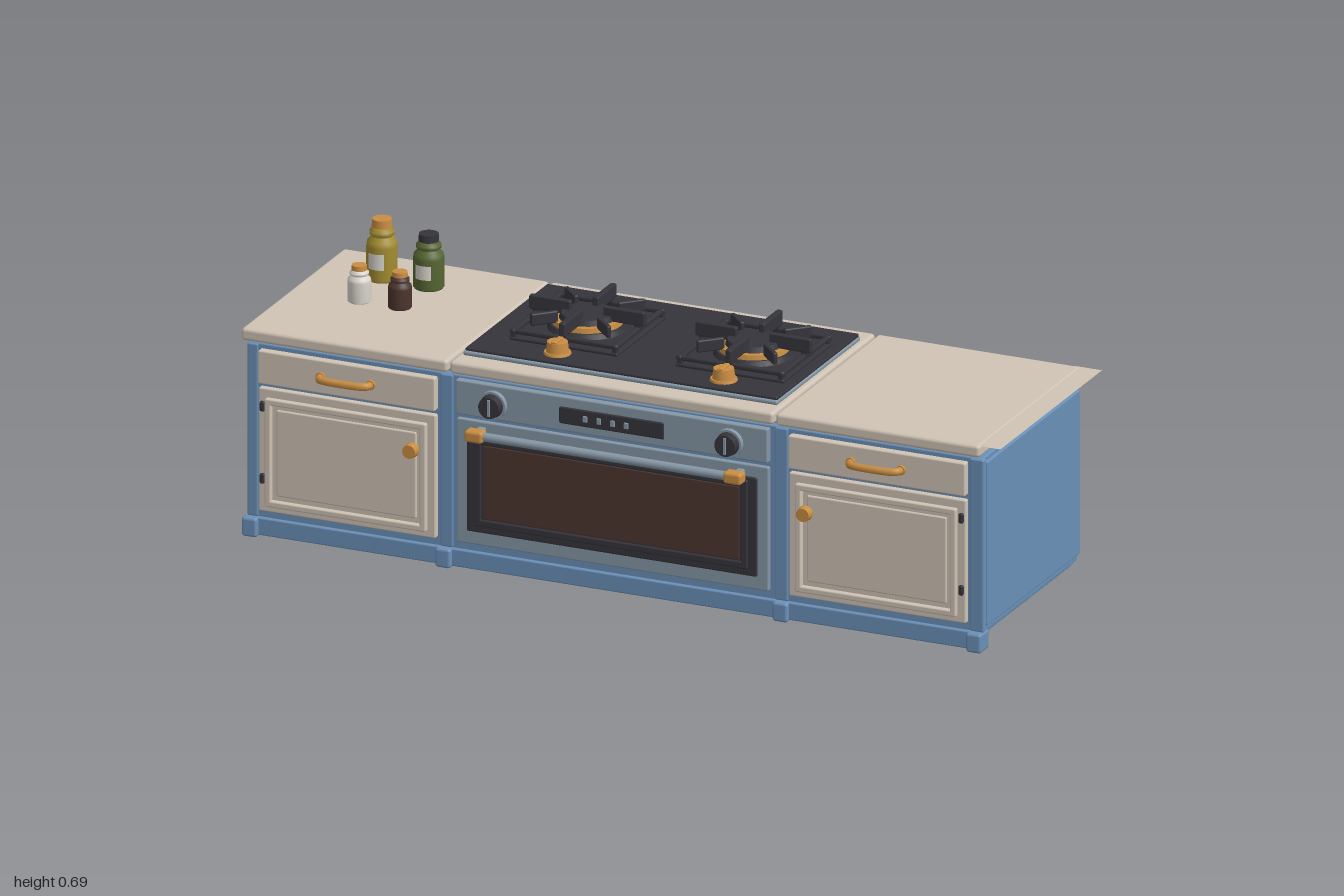
import * as THREE from 'three';
import { RoundedBoxGeometry } from 'three/addons/geometries/RoundedBoxGeometry.js';

const palette = {
  blue: 0x6b90b8, cream: 0xcfc3b4, charcoal: 0x35343b, steel: 0x8798a6, brass: 0xc98d42,
  brown: 0x4c352f, green: 0x566632, mustard: 0xa28c30, white: 0xd9d4cc,
};

export function createModel() {
  const root = new THREE.Group();
  root.name = 'kitchenRange';
  const M = {};
  for (const [name, color] of Object.entries(palette)) {
    M[name] = new THREE.MeshStandardMaterial({ color });
    M[name].name = name;
  }
  M.sheet = M.cream.clone();
  M.sheet.name = 'creamSheet';
  M.sheet.side = THREE.DoubleSide;

  const add = (parent, name, geometry, material, x = 0, y = 0, z = 0) => {
    const mesh = new THREE.Mesh(geometry, material);
    mesh.name = name;
    mesh.position.set(x, y, z);
    parent.add(mesh);
    return mesh;
  };
  const group = (name, x = 0, y = 0, z = 0) => {
    const g = new THREE.Group();
    g.name = name;
    g.position.set(x, y, z);
    root.add(g);
    return g;
  };
  // Softly rounded box given by its extents
  const box = (parent, name, mat, x0, x1, y0, y1, z0, z1, r = 0.004) => {
    const w = x1 - x0, h = y1 - y0, d = z1 - z0;
    const radius = Math.min(r, w * 0.45, h * 0.45, d * 0.45);
    return add(parent, name, new RoundedBoxGeometry(w, h, d, 2, radius), mat,
      (x0 + x1) / 2, (y0 + y1) / 2, (z0 + z1) / 2);
  };
  // Rectangular frame facing +z
  const frame = (parent, name, mat, x0, x1, y0, y1, z0, z1, t) => {
    box(parent, name + 'Bottom', mat, x0, x1, y0, y0 + t, z0, z1);
    box(parent, name + 'Top', mat, x0, x1, y1 - t, y1, z0, z1);
    box(parent, name + 'Left', mat, x0, x0 + t, y0, y1, z0, z1);
    box(parent, name + 'Right', mat, x1 - t, x1, y0, y1, z0, z1);
  };
  const disc = (parent, name, mat, r0, r1, h, x, y, z, facing = false) => {
    const mesh = add(parent, name, new THREE.CylinderGeometry(r1, r0, h, 24), mat, x, y, z);
    if (facing) mesh.rotation.x = Math.PI / 2;
    return mesh;
  };

  // Carcass, plinth, posts and feet
  const body = group('carcass');
  box(body, 'cabinetBody', M.blue, -0.985, 0.945, 0.045, 0.494, -0.3, 0.253);
  box(body, 'plinth', M.blue, -0.975, 0.935, 0.032, 0.05, -0.29, 0.25);
  box(body, 'counterSupport', M.blue, -0.97, 0.93, 0.49, 0.506, -0.28, 0.235);
  box(body, 'frontRail', M.blue, -0.98, 0.93, 0.005, 0.05, 0.235, 0.263);
  box(body, 'leftSidePanel', M.blue, 0.94, 0.952, 0.062, 0.483, -0.3, 0.24);
  box(body, 'rightSidePanel', M.blue, -0.993, -0.98, 0.062, 0.483, -0.3, 0.24);
  for (const [x0, x1] of [[-0.99, -0.962], [-0.482, -0.448], [0.4, 0.434], [0.913, 0.95]])
    box(body, 'frontPost', M.blue, x0, x1, 0.05, 0.492, 0.24, 0.258);
  for (const x of [-0.978, -0.468, 0.42, 0.93])
    box(body, 'foot', M.blue, x - 0.02, x + 0.02, 0.001, 0.05, 0.223, 0.276, 0.007);

  // Worktop slabs
  const top = group('worktop');
  for (const [x0, x1] of [[-0.998, -0.455], [-0.449, 0.404], [0.41, 0.947]])
    box(top, 'worktopSlab', M.cream, x0, x1, 0.503, 0.535, -0.32, 0.277, 0.009);
  const sheet = add(top, 'worktopEndSheet', new THREE.PlaneGeometry(0.07, 0.59), M.sheet, 0.965, 0.533, -0.025);
  sheet.rotation.x = -Math.PI / 2;

  // Side cabinets: drawer above a hinged door
  const cabinet = (name, cx, s) => {
    const g = group(name, cx);
    const w = 0.233;
    box(g, 'drawerFront', M.cream, -w, w, 0.397, 0.482, 0.245, 0.272);
    box(g, 'doorPanel', M.cream, -w, w, 0.07, 0.386, 0.245, 0.267);
    frame(g, 'doorMoulding', M.cream, -0.212, 0.212, 0.087, 0.364, 0.26, 0.28, 0.016);
    box(g, 'doorInset', M.cream, -0.184, 0.184, 0.115, 0.336, 0.26, 0.272);
    for (const y of [0.155, 0.34])
      box(g, 'hinge', M.charcoal, s * 0.222 - 0.006, s * 0.222 + 0.006, y - 0.013, y + 0.013, 0.262, 0.274);
    disc(g, 'knobStem', M.brass, 0.009, 0.009, 0.025, -s * 0.18, 0.297, 0.276, true);
    disc(g, 'doorKnob', M.brass, 0.019, 0.017, 0.02, -s * 0.18, 0.297, 0.296, true);
    const path = new THREE.CatmullRomCurve3([[-0.066, 0.272], [-0.062, 0.291], [-0.045, 0.298],
      [0.045, 0.298], [0.062, 0.291], [0.066, 0.272]].map(([x, z]) => new THREE.Vector3(x, 0.441, z)));
    add(g, 'drawerHandle', new THREE.TubeGeometry(path, 24, 0.01, 8), M.brass);
    for (const x of [-0.066, 0.066])
      disc(g, 'handleMount', M.brass, 0.012, 0.012, 0.008, x, 0.441, 0.275, true);
  };
  cabinet('rightCabinet', -0.723, -1);
  cabinet('leftCabinet', 0.674, 1);

  // Oven front with control panel, window and bar handle
  const oven = group('oven');
  box(oven, 'controlPanel', M.steel, -0.436, 0.386, 0.4, 0.488, 0.245, 0.27);
  box(oven, 'ovenDoor', M.steel, -0.436, 0.386, 0.07, 0.388, 0.245, 0.264);
  box(oven, 'windowSurround', M.charcoal, -0.407, 0.357, 0.104, 0.358, 0.255, 0.269);
  frame(oven, 'windowFrame', M.charcoal, -0.385, 0.335, 0.122, 0.35, 0.262, 0.275, 0.018);
  box(oven, 'windowGlass', M.brown, -0.362, 0.312, 0.142, 0.33, 0.265, 0.272, 0.002);
  box(oven, 'display', M.charcoal, -0.162, 0.114, 0.42, 0.463, 0.265, 0.274);
  for (let i = 0; i < 4; i++) {
    const x = -0.092 + i * 0.036;
    box(oven, 'displayButton', M.steel, x - 0.006, x + 0.006, 0.433, 0.449, 0.272, 0.277, 0.002);
  }
  for (const x of [-0.335, 0.287]) {
    disc(oven, 'dialRing', M.steel, 0.036, 0.035, 0.012, x, 0.44, 0.275, true);
    disc(oven, 'dial', M.charcoal, 0.03, 0.027, 0.022, x, 0.44, 0.29, true);
    box(oven, 'dialGrip', M.steel, x - 0.004, x + 0.004, 0.418, 0.462, 0.295, 0.303, 0.002);
  }
  const bar = add(oven, 'ovenHandleBar', new THREE.CylinderGeometry(0.011, 0.011, 0.66, 16), M.steel, -0.027, 0.366, 0.303);
  bar.rotation.z = Math.PI / 2;
  for (const x of [-0.368, 0.314]) {
    box(oven, 'handleEnd', M.brass, x - 0.024, x + 0.024, 0.351, 0.381, 0.286, 0.32, 0.008);
    box(oven, 'handleBracket', M.steel, x - 0.01, x + 0.01, 0.357, 0.375, 0.26, 0.29);
  }

  // Cooktop plate
  const hob = group('cooktop');
  box(hob, 'cooktopRim', M.steel, -0.437, 0.391, 0.534, 0.546, -0.262, 0.225, 0.005);
  box(hob, 'cooktopPlate', M.charcoal, -0.434, 0.388, 0.542, 0.553, -0.259, 0.219, 0.004);

  // Burners with grates and front knobs
  for (const x of [-0.216, 0.222]) {
    const g = group('burner', x, 0, -0.014);
    box(g, 'burnerTray', M.charcoal, -0.143, 0.143, 0.553, 0.562, -0.143, 0.143);
    const grate = new THREE.Group();
    grate.name = 'grate';
    g.add(grate);
    for (let i = 0; i < 4; i++) {
      const side = new THREE.Group();
      side.name = 'grateSide';
      side.rotation.y = i * Math.PI / 2;
      grate.add(side);
      box(side, 'grateRail', M.charcoal, -0.143, 0.143, 0.569, 0.582, 0.127, 0.141, 0.005);
      box(side, 'grateLeg', M.charcoal, 0.126, 0.141, 0.555, 0.582, 0.126, 0.141);
      box(side, 'grateFin', M.charcoal, -0.008, 0.008, 0.585, 0.621, 0.043, 0.152, 0.004);
      box(side, 'finPost', M.charcoal, -0.007, 0.007, 0.575, 0.59, 0.125, 0.143);
      const diagonal = box(side, 'diagonalFin', M.charcoal, -0.006, 0.006, 0.582, 0.613, -0.035, 0.035);
      diagonal.position.set(0.079, 0.5975, 0.079);
      diagonal.rotation.y = Math.PI / 4;
    }
    disc(g, 'burnerBase', M.charcoal, 0.1, 0.092, 0.014, 0, 0.567, 0);
    disc(g, 'burnerRing', M.brass, 0.086, 0.084, 0.012, 0, 0.58, 0);
    disc(g, 'burnerCap', M.charcoal, 0.07, 0.064, 0.014, 0, 0.592, 0);
    disc(g, 'knobPlate', M.brass, 0.034, 0.032, 0.006, 0, 0.556, 0.176);
    disc(g, 'knobBody', M.brass, 0.028, 0.025, 0.026, 0, 0.571, 0.176);
    box(g, 'knobGrip', M.brass, -0.007, 0.007, 0.58, 0.589, 0.153, 0.199, 0.003);
  }

  // Jars: lathed body, collar, lid and optional label
  const jar = (name, mat, lidMat, x, z, r, h, label) => {
    const g = group(name, x, 0.535, z);
    const profile = [[0, 0], [0.92, 0], [1, 0.03], [1, 0.56], [0.94, 0.64], [0.68, 0.71],
      [0.68, 0.74], [0.8, 0.75], [0.8, 0.81], [0.62, 0.82], [0.62, 0.88], [0, 0.88]]
      .map(([a, b]) => new THREE.Vector2(a * r, b * h));
    add(g, 'jarBody', new THREE.LatheGeometry(profile, 24), mat);
    disc(g, 'jarLid', lidMat, r * 0.66, r * 0.63, h * 0.13, 0, h * 0.935, 0);
    if (label)
      add(g, 'jarLabel', new THREE.CylinderGeometry(r * 1.02, r * 1.02, h * 0.26, 12, 1, true, -0.55, 1.1),
        M.white, 0, h * 0.35, 0);
  };
  jar('mustardJar', M.mustard, M.brass, -0.828, -0.168, 0.038, 0.155, true);
  jar('greenJar', M.green, M.charcoal, -0.702, -0.162, 0.038, 0.138, true);
  jar('whiteJar', M.white, M.brass, -0.815, -0.008, 0.029, 0.093, false);
  jar('brownJar', M.brown, M.brass, -0.708, -0.008, 0.029, 0.093, false);

  return root;
}
